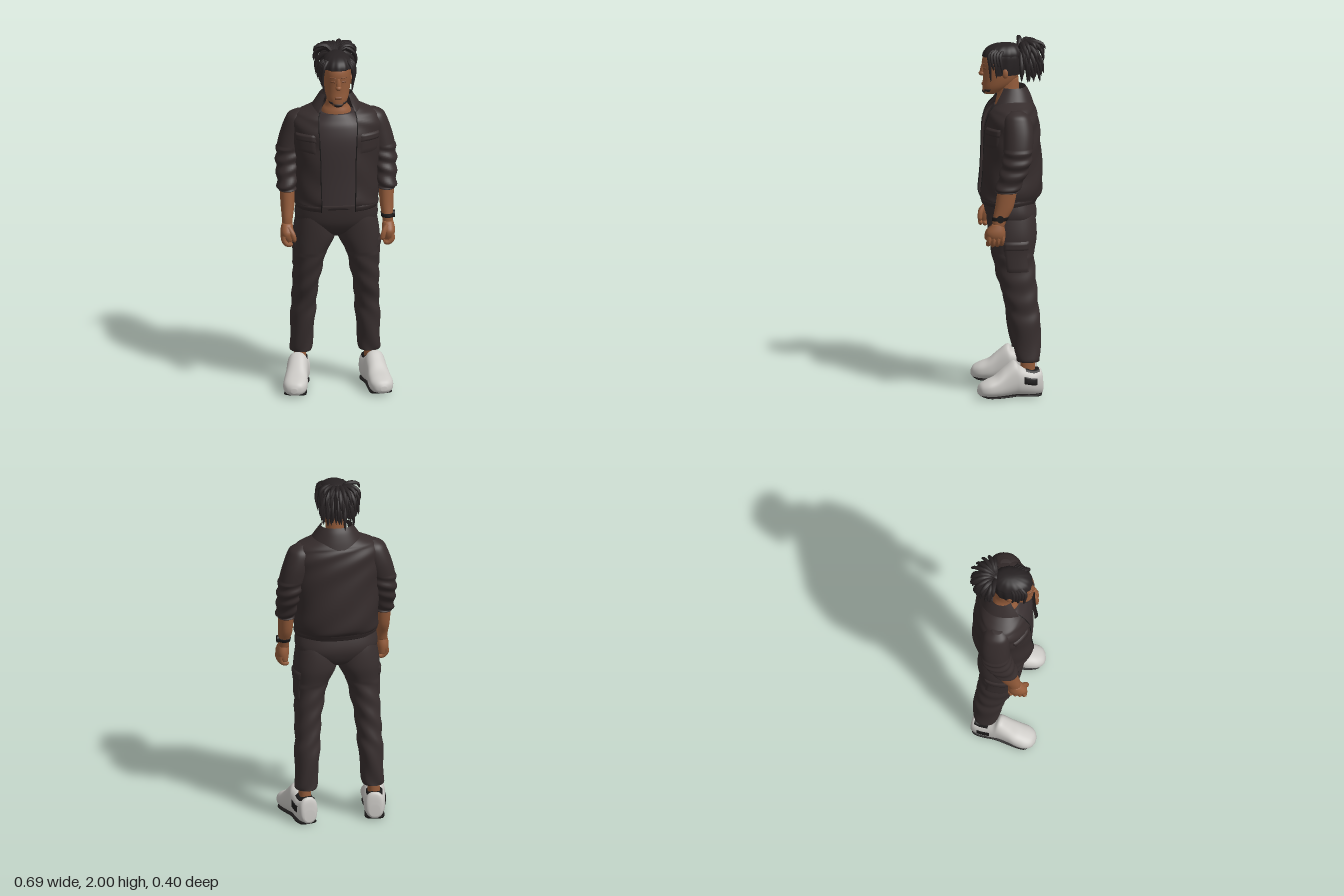
import * as THREE from 'three';
import { mergeVertices } from 'three/addons/utils/BufferGeometryUtils.js';

const TAU = Math.PI * 2;
const V = (x, y, z) => new THREE.Vector3(x, y, z);
const paint = (name, color) => new THREE.MeshStandardMaterial({ name, color, side: THREE.DoubleSide });

// Point on a lofted body. Section: [y, centreX, radiusX, zBack, zFront, halfFrontGap]; u runs from the front via +x.
function at(secs, s, u, off = 0, p = 2.2) {
  const i = Math.min(Math.floor(s), secs.length - 2), f = s - i;
  const k = (n) => secs[Math.max(0, Math.min(secs.length - 1, n))];
  const q = k(i).map((b, c) => {
    const a = k(i - 1)[c], d = k(i + 1)[c], e = k(i + 2)[c];
    const m0 = (d - a) / 2, m1 = (e - b) / 2;
    return b + f * (m0 + f * (3 * (d - b) - 2 * m0 - m1 + f * (2 * (b - d) + m0 + m1)));
  });
  const [y, cx, rx, zb, zf, gap = 0] = q;
  const t0 = gap ? Math.asin(Math.pow(gap / rx, p / 2)) : 0;
  const t = t0 + u * (TAU - 2 * t0), c = Math.cos(t), n = Math.sin(t);
  const pw = (v) => Math.sign(v) * Math.pow(Math.abs(v), 2 / p);
  return V(cx + (rx + off) * pw(n), y, (zb + zf) / 2 + ((zf - zb) / 2 + off) * pw(c));
}

// Surface over a range of the loft; "bulge" lifts its middle and leaves its rim on the body.
function loft(secs, o = {}) {
  const { u0 = 0, u1 = 1, s0 = 0, s1 = secs.length - 1, p = 2.2, off = 0, bulge = 0, fold } = o;
  const nu = o.nu || 40, nv = o.nv || (secs.length - 1) * 5, pos = [], idx = [], w = nu + 1;
  for (let j = 0; j <= nv; j++) for (let i = 0; i <= nu; i++) {
    const u = u0 + (u1 - u0) * i / nu, s = s0 + (s1 - s0) * j / nv;
    const rim = i === 0 || j === 0 || i === nu || j === nv;
    const d = off + (rim ? 0 : bulge) + (fold ? fold(s, u) : 0);
    pos.push(...at(secs, s, u, d, p).toArray());
    if (i < nu && j < nv) { const a = j * w + i; idx.push(a, a + 1, a + w + 1, a, a + w + 1, a + w); }
  }
  if (u0 === 0 && u1 === 1 && !secs[0][5]) for (const j of [0, nv]) {
    const mid = at(secs, j ? s1 : s0, 0).add(at(secs, j ? s1 : s0, 0.5)).multiplyScalar(0.5), c = pos.length / 3;
    pos.push(...mid.toArray());
    for (let i = 0; i < nu; i++) j ? idx.push(c, j * w + i, j * w + i + 1) : idx.push(c, i + 1, i);
  }
  let g = new THREE.BufferGeometry();
  g.setAttribute('position', new THREE.Float32BufferAttribute(pos, 3));
  g.setIndex(idx);
  g = mergeVertices(g, 1e-5);
  g.computeVertexNormals();
  return g;
}

// Tapered tube for hair locks and fingers
function lock(pts, r, tip = 0.3) {
  const curve = new THREE.CatmullRomCurve3(pts), n = 10, m = 7;
  const g = new THREE.TubeGeometry(curve, n, r, m), a = g.attributes.position, v = V(0, 0, 0);
  for (let i = 0; i <= n; i++) {
    const c = curve.getPointAt(i / n), f = i === n ? 0.02 : 1 - (1 - tip) * Math.pow(i / n, 3);
    for (let j = 0; j <= m; j++) {
      const k = i * (m + 1) + j;
      v.fromBufferAttribute(a, k).sub(c).multiplyScalar(f).add(c);
      a.setXYZ(k, v.x, v.y, v.z);
    }
  }
  g.computeVertexNormals();
  return g;
}

function mirror(geo) {
  const g = geo.clone().scale(-1, 1, 1), ix = g.index.array;
  for (let i = 0; i < ix.length; i += 3) [ix[i], ix[i + 1]] = [ix[i + 1], ix[i]];
  g.computeVertexNormals();
  return g;
}

export function createModel() {
  const root = new THREE.Group();
  root.name = 'standingMan';
  const jacketM = paint('jacket cloth', 0x352c2c), pantsM = paint('trouser cloth', 0x382f2f), shirtM = paint('shirt cloth', 0x393031);
  const hairM = paint('hair', 0x272223), skinM = paint('skin', 0x935b3a), shadeM = paint('dark skin', 0x7d4c31);
  const shoeM = paint('shoe', 0xcbc9c5), blackM = paint('black rubber', 0x1c1a1a);
  const add = (name, geo, mat) => {
    const m = new THREE.Mesh(geo, mat);
    m.name = name;
    root.add(m);
  };
  const pair = (name, geo, mat) => { add(name + 'Left', geo, mat); add(name + 'Right', mirror(geo), mat); };

  // Jacket, open at the front
  const jacket = [[1.075, 0, .222, -.14, .165, .095], [1.1, 0, .232, -.152, .176, .095], [1.14, 0, .237, -.18, .18, .095],
    [1.25, 0, .236, -.182, .17, .097], [1.4, 0, .245, -.173, .163, .1], [1.5, 0, .252, -.166, .158, .105],
    [1.57, 0, .25, -.155, .143, .108], [1.615, 0, .225, -.138, .12, .105], [1.64, 0, .175, -.125, .1, .098],
    [1.665, 0, .125, -.11, .085, .086], [1.7, 0, .1, -.098, .07, .074], [1.725, 0, .088, -.088, .055, .064]];
  const cloth = (s, u) => (s > 1 && s < 7 ? 0.003 * Math.sin(s * 4 + Math.sin(u * TAU) * 5) : 0);
  add('jacketBody', loft(jacket, { fold: cloth, nu: 64 }), jacketM);
  add('jacketHem', loft(jacket, { s0: 0, s1: 1.3, bulge: .004, nu: 60, nv: 6 }), jacketM);
  pair('chestPocket', loft(jacket, { u0: .02, u1: .13, s0: 4.1, s1: 5.1, bulge: .005, nu: 12, nv: 8 }), jacketM);
  pair('pocketFlap', loft(jacket, { u0: .015, u1: .135, s0: 4.75, s1: 5.3, bulge: .01, nu: 12, nv: 6 }), jacketM);
  const edge = [];
  for (let s = 0; s <= 8; s += .5) edge.push(at(jacket, s, 0));
  pair('zip', new THREE.TubeGeometry(new THREE.CatmullRomCurve3(edge), 40, .003, 6), blackM);
  const collar = [[1.61, 0, .165, -.14, .13, .115], [1.655, 0, .137, -.126, .11, .1], [1.7, 0, .108, -.108, .08, .082],
    [1.728, 0, .09, -.09, .058, .066]];
  add('collar', loft(collar, { nu: 48 }), jacketM);

  // Pushed-up sleeves
  const sleeve = [[1.178, .278, .047, -.025, .096], [1.2, .28, .054, -.035, .1], [1.28, .275, .061, -.075, .078],
    [1.35, .268, .07, -.1, .062], [1.42, .256, .074, -.11, .055], [1.5, .235, .075, -.115, .052],
    [1.57, .215, .07, -.105, .05], [1.605, .21, .055, -.085, .035], [1.628, .2, .025, -.05, .005]];
  pair('sleeve', loft(sleeve, { nv: 70, fold: (s, u) => (s > .3 && s < 4 ? .005 * Math.sin(s * 6.5 + Math.sin(u * TAU) * 2) : 0) }), jacketM);

  // Shirt and neck
  add('shirt', loft([[1.085, 0, .2, -.1, .152], [1.25, 0, .2, -.1, .147], [1.45, 0, .2, -.1, .147], [1.55, 0, .18, -.1, .128],
    [1.595, 0, .14, -.09, .104], [1.625, 0, .1, -.08, .085]]), shirtM);
  add('neck', loft([[1.58, 0, .09, -.07, .085], [1.635, 0, .08, -.07, .079], [1.665, 0, .062, -.065, .072], [1.7, 0, .055, -.055, .068],
    [1.78, 0, .054, -.05, .07]]), skinM);

  // Forearms, hands and wristwatch
  const arm = [[.985, .281, .029, .052, .116], [1.03, .28, .031, .035, .115], [1.1, .277, .039, -.002, .102], [1.22, .278, .043, -.025, .085]];
  pair('forearm', loft(arm, { nu: 28 }), skinM);
  pair('palm', loft([[.9, .279, .024, .052, .14], [.93, .284, .034, .046, .152], [.96, .284, .036, .046, .15], [1, .281, .029, .055, .118]], { nu: 28 }), skinM);
  for (let i = 0; i < 4; i++) {
    const z = .06 + i * .025, y = .005 * Math.abs(i - 1.6);
    pair('finger' + (i + 1), lock([V(.3, .935, z), V(.302, .9 + y, z + .004), V(.28, .878 + y, z + .006), V(.252, .882 + y, z + .004)], .0145, .7), skinM);
  }
  pair('thumb', lock([V(.275, .98, .12), V(.254, .945, .143), V(.243, .9, .147)], .0155, .7), skinM);
  add('watchStrap', loft(arm, { s0: .85, s1: 1.2, off: .005, nv: 4 }), blackM);
  const dial = new THREE.CylinderGeometry(.02, .02, .012, 20).rotateZ(Math.PI / 2).translate(.316, 1.033, .076);
  add('watchFace', dial, blackM);

  // Trousers with thigh pockets; the hips take over from the legs above the crotch
  const leg = [[.195, .19, .055, -.148, -.03], [.22, .19, .062, -.155, -.02], [.4, .181, .069, -.16, .01], [.5, .175, .07, -.148, .024],
    [.6, .17, .073, -.14, .058], [.7, .158, .081, -.132, .08], [.8, .146, .093, -.126, .1], [.9, .124, .119, -.142, .114],
    [1, .117, .112, -.136, .122], [1.08, .11, .1, -.115, .12]];
  pair('trouserLeg', loft(leg, { nv: 80, fold: (s, u) => (s > .5 && s < 6 ? .003 * Math.sin(s * 5 + Math.sin(u * TAU) * 4) : 0) }), pantsM);
  pair('thighPocket', loft(leg, { u0: .17, u1: .35, s0: 5.1, s1: 6.7, bulge: .005, nu: 12, nv: 12 }), pantsM);
  pair('thighPocketFlap', loft(leg, { u0: .165, u1: .355, s0: 6.3, s1: 6.85, bulge: .008, nu: 12, nv: 6 }), pantsM);
  add('hips', loft([[.9, 0, .03, -.06, .04], [.93, 0, .12, -.115, .09], [.98, 0, .208, -.142, .124], [1.03, 0, .232, -.148, .14],
    [1.11, 0, .22, -.13, .153]], { p: 2.5, nu: 56 }), pantsM);
  pair('ankle', loft([[.11, .197, .034, -.13, -.045], [.22, .195, .034, -.125, -.045]]), skinM);

  // Shoes, lofted from heel to toe and turned outwards
  const shoe = [[-.17, 0, .03, -.085, -.02], [-.158, 0, .05, -.155, -.005], [-.11, 0, .06, -.15, -.003], [-.04, 0, .061, -.175, -.008],
    [-.005, 0, .06, -.205, -.01], [.05, 0, .061, -.165, -.004], [.1, 0, .067, -.122, -.003], [.15, 0, .066, -.1, -.005],
    [.185, 0, .047, -.08, -.012], [.2, 0, .016, -.055, -.028]];
  const sole = [[-.164, 0, .02, -.024, -.012], [-.15, 0, .048, -.02, 0], [-.1, 0, .056, -.015, 0], [-.03, 0, .052, -.018, -.006],
    [.03, 0, .055, -.015, -.002], [.1, 0, .062, -.013, 0], [.15, 0, .06, -.016, -.002], [.183, 0, .034, -.026, -.012]];
  const place = (g) => g.rotateX(Math.PI / 2).rotateY(.18).translate(.216, 0, 0);
  pair('shoe', place(loft(shoe, { p: 2.4 })), shoeM);
  pair('outsole', place(loft(sole, { p: 3 })), blackM);
  pair('shoePanel', place(loft(shoe, { p: 2.4, u0: .24, u1: .305, s0: 1.7, s1: 2.8, bulge: .003, off: .002, nu: 8, nv: 8 })), blackM);
  pair('shoeCollar', place(loft(shoe, { p: 2.4, u0: .38, u1: .62, s0: 1.3, s1: 2.6, bulge: .003, off: .002, nu: 12, nv: 8 })), blackM);

  // Head and face
  const head = [[1.685, 0, .025, .085, .138], [1.7, 0, .043, .05, .15], [1.73, 0, .06, 0, .152], [1.77, 0, .07, -.04, .149],
    [1.82, 0, .075, -.058, .15], [1.87, 0, .077, -.065, .154], [1.91, 0, .074, -.06, .142], [1.94, 0, .055, -.04, .105], [1.95, 0, .02, 0, .06]];
  add('head', loft(head), skinM);
  add('nose', new THREE.SphereGeometry(1, 16, 12).scale(.017, .015, .02).translate(0, 1.802, .153), skinM);
  add('noseBridge', lock([V(0, 1.803, .154), V(0, 1.83, .15), V(0, 1.862, .143)], .014, .6), skinM);
  pair('ear', new THREE.SphereGeometry(1, 14, 10).scale(.012, .03, .018).translate(.079, 1.815, .03), skinM);
  pair('eyelid', loft(head, { u0: .035, u1: .092, s0: 4.2, s1: 4.42, bulge: .003, nu: 8, nv: 5 }), shadeM);
  pair('eyebrow', loft(head, { u0: .025, u1: .105, s0: 4.72, s1: 4.86, bulge: .004, nu: 8, nv: 4 }), shadeM);
  add('lips', loft(head, { u0: -.045, u1: .045, s0: 2.1, s1: 2.5, bulge: .004, nu: 10, nv: 6 }), shadeM);
  add('goatee', loft(head, { u0: -.09, u1: .09, s0: .1, s1: 1.2, bulge: .004, nu: 12, nv: 8 }), hairM);
  pair('jawBeard', loft(head, { u0: .09, u1: .2, s0: 1.1, s1: 1.6, bulge: .003, nu: 12, nv: 6 }), hairM);

  // Swept-back hair
  const crown = [[1.9, 0, .084, -.072, .152], [1.922, 0, .082, -.072, .146], [1.945, 0, .07, -.06, .128], [1.963, 0, .048, -.04, .095],
    [1.972, 0, .02, -.01, .055], [1.974, 0, .002, .02, .025]];
  const strands = (s, u) => .002 * Math.cos(u * TAU * 14) * Math.max(0, 1 - s / 4);
  add('hairCrown', loft(crown, { fold: strands, nu: 112, nv: 20 }), hairM);
  add('hairBack', loft(head, { u0: .21, u1: .79, s0: 3.6, s1: 6, off: .01, fold: (s, u) => strands(0, u), nu: 70, nv: 10 }), hairM);
  add('hairKnot', new THREE.SphereGeometry(.04, 18, 14).scale(1, .9, 1).translate(0, 1.925, -.062), hairM);
  for (let i = 0; i < 5; i++) {
    const z = .122 - i * .016, x = .074 + .004 * i, e = 1.765 + .022 * ((i * 3) % 5);
    pair('sideLock' + (i + 1), lock([V(.055, 1.94, z - .025), V(x, 1.92, z), V(x + .012, 1.86, z - .005), V(x + .004, e, z - .012)], .0095), hairM);
  }

  // Fan of tied locks at the back of the head
  let seed = 7;
  const rnd = () => (seed = (seed * 16807) % 2147483647) / 2147483647;
  for (let k = 0; k < 5; k++) for (let i = 0; i < 10; i++) {
    const a = (i / 9 - .5) * 2.9 + (rnd() - .5) * .3, x = Math.sin(a), z = Math.cos(a);
    const tipY = [1.925, 1.87, 1.81, 1.765, 1.78][k] + (rnd() - .5) * .05, r = [.146, .142, .132, .115, .08][k] - rnd() * .015;
    const top = [1.985, 1.972, 1.945, 1.915, 1.9][k] - rnd() * .012;
    add(`tiedLock${k * 10 + i + 1}`, lock([V(x * .012, 1.935, -.055), V(x * .055, top, -.06 - z * .05),
      V(x * r * .8, (top + tipY) / 2 + .012, -.06 - z * r * .86), V(x * r * .86, tipY, -.06 - z * r)], .0145), hairM);
  }
  return root;
}
